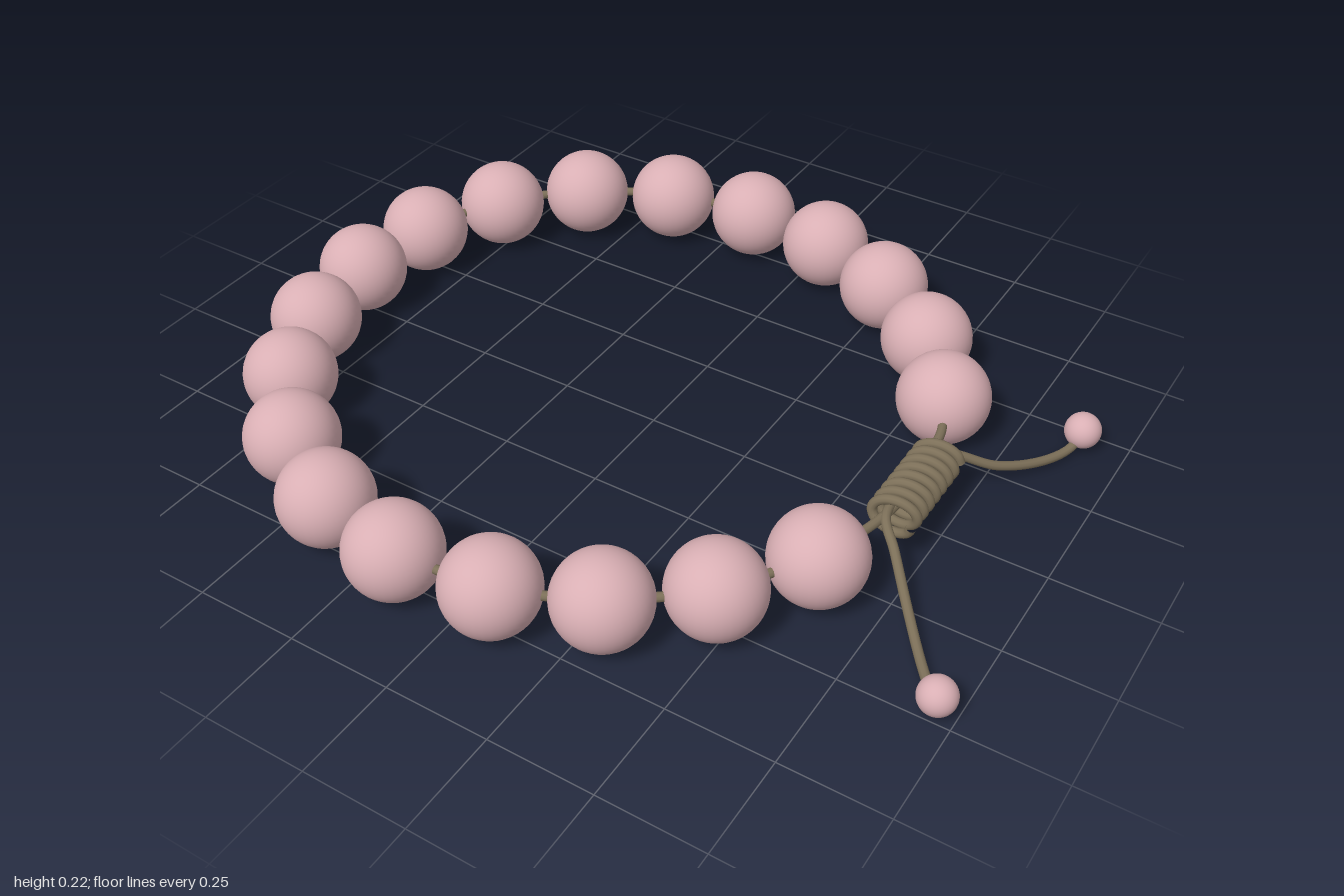
import * as THREE from 'three';

export function createModel() {
  const model = new THREE.Group();
  const beadMaterial = new THREE.MeshStandardMaterial({ color: 0xd9afb4 });
  beadMaterial.name = 'dusty pink bead';
  const cordMaterial = new THREE.MeshStandardMaterial({ color: 0x7d7059 });
  cordMaterial.name = 'olive brown cord';

  const beadRadius = 0.111, beadY = 0.112, cordRadius = 0.011;

  const addBead = (name, radius, x, y, z) => {
    const bead = new THREE.Mesh(new THREE.SphereGeometry(radius, 40, 28), beadMaterial);
    bead.name = name;
    bead.position.set(x, y, z);
    model.add(bead);
  };
  const addCord = (name, points, segments, radius = cordRadius) => {
    const path = new THREE.CatmullRomCurve3(points.map((p) => new THREE.Vector3(...p)));
    const cord = new THREE.Mesh(new THREE.TubeGeometry(path, segments, radius, 10), cordMaterial);
    cord.name = name;
    model.add(cord);
  };

  // Hand-strung ring of beads, [x, z], open at the knot
  const ring = [
    [0.596, -0.318], [0.462, -0.51], [0.275, -0.655], [0.061, -0.746], [-0.171, -0.773],
    [-0.4, -0.733], [-0.612, -0.628], [-0.773, -0.457], [-0.869, -0.243], [-0.89, -0.013],
    [-0.848, 0.217], [-0.746, 0.425], [-0.586, 0.599], [-0.385, 0.717], [-0.158, 0.767],
    [0.078, 0.746], [0.291, 0.655], [0.471, 0.505], [0.602, 0.31],
  ];
  ring.forEach(([x, z], i) => addBead(`bead${i + 1}`, beadRadius, x, beadY, z));

  // Cord threaded through the beads and on through the knot
  addCord('threadCord', ring.map(([x, z]) => [x, beadY, z]), 200);

  // Each end runs from its bead through the knot and out as a tail on the far side
  addCord('backTail', [
    [0.602, beadY, 0.31], [0.643, 0.112, 0.2], [0.662, 0.112, 0.12], [0.672, 0.112, 0],
    [0.672, 0.118, -0.13], [0.71, 0.095, -0.165], [0.778, 0.055, -0.222],
    [0.85, 0.024, -0.33], [0.885, 0.022, -0.41], [0.895, 0.045, -0.452],
  ], 100);
  addCord('frontTail', [
    [0.596, beadY, -0.318], [0.645, 0.112, -0.2], [0.655, 0.112, -0.12], [0.662, 0.112, 0],
    [0.668, 0.118, 0.13], [0.72, 0.09, 0.19], [0.8, 0.045, 0.285],
    [0.885, 0.02, 0.39], [0.93, 0.024, 0.445], [0.955, 0.045, 0.473],
  ], 100);

  // Sliding knot: a slightly flattened helix around both ends
  const turns = 8, steps = 12, coil = [];
  for (let i = 0; i <= turns * steps; i++) {
    const a = (i / steps) * Math.PI * 2;
    coil.push([
      0.675 + 0.05 * Math.cos(a),
      0.107 + 0.036 * Math.sin(a),
      -0.128 + (0.252 * i) / (turns * steps),
    ]);
  }
  addCord('knotCoil', coil, 320, 0.0115);

  // Small beads finishing the tails
  addBead('backTailBead', 0.043, 0.895, 0.05, -0.452);
  addBead('frontTailBead', 0.043, 0.955, 0.05, 0.473);

  return model;
}
